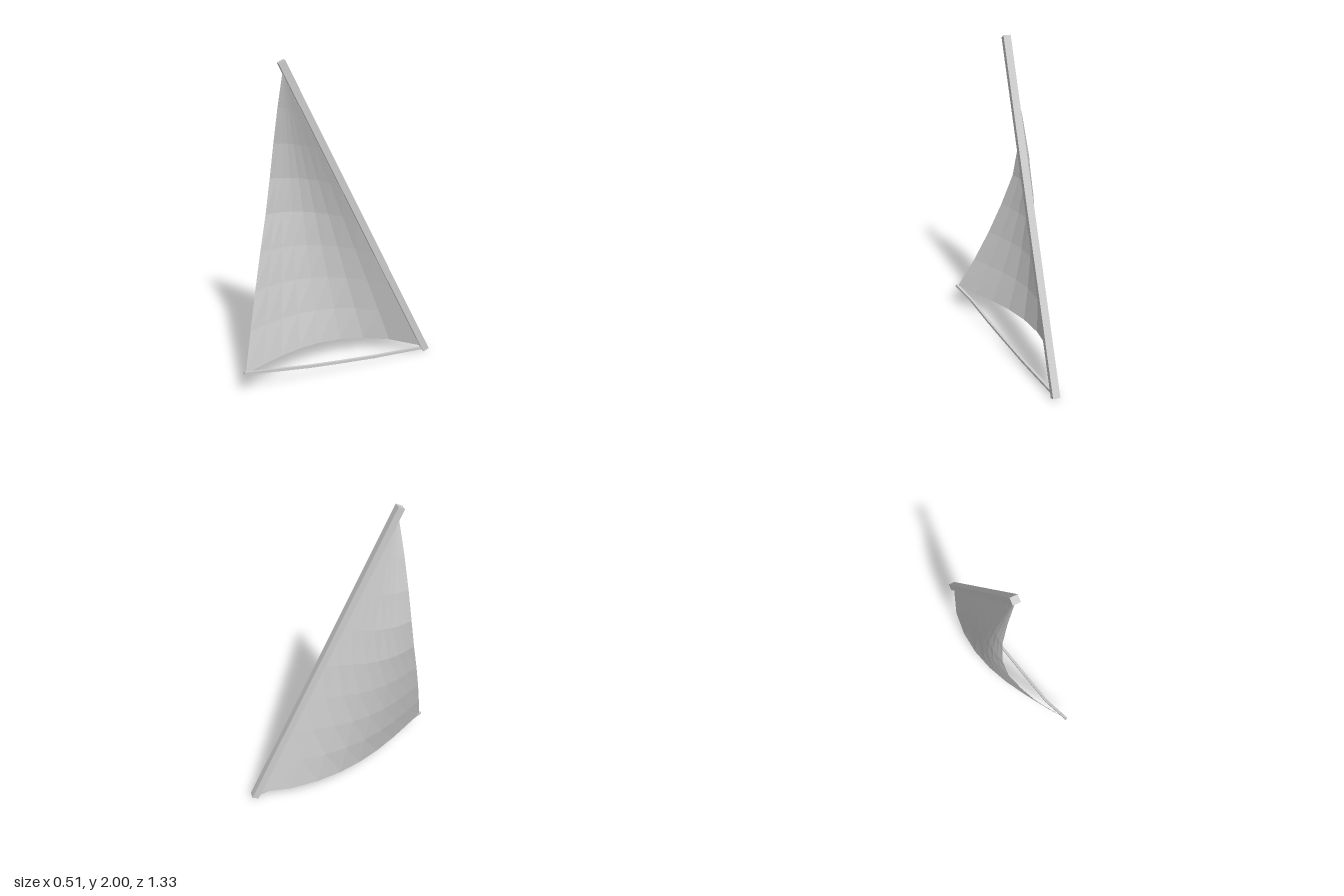
import * as THREE from 'three';

const V = (x, y, z) => new THREE.Vector3(x, y, z);
const material = new THREE.MeshStandardMaterial({ color: 0xcccccc, flatShading: true, side: THREE.DoubleSide });

// Rectangular-section beam running from a to b
function beam(a, b, width, height, name) {
  const mesh = new THREE.Mesh(new THREE.BoxGeometry(width, height, a.distanceTo(b)), material);
  mesh.position.copy(a).lerp(b, 0.5);
  mesh.lookAt(b);
  mesh.name = name;
  return mesh;
}

// Sail surface: straight luff on the yard, curved free edge, belly between them
function sailGeometry() {
  const luffLow = V(0.21, 0.035, -0.615), luffHigh = V(-0.13, 1.93, 0.24);
  const leech = new THREE.CatmullRomCurve3([
    V(-0.01, 0.15, 0.65), V(-0.113, 0.45, 0.525), V(-0.188, 0.745, 0.418), V(-0.243, 1.04, 0.318),
    V(-0.25, 1.335, 0.265), V(-0.207, 1.63, 0.252), V(-0.13, 1.94, 0.25),
  ]);
  const cols = 8, rows = 8, positions = [], index = [];
  for (let j = 0; j <= rows; j++) {
    const v = j / rows;
    const luff = luffLow.clone().lerp(luffHigh, v), edge = leech.getPoint(v);
    const depth = 0.196 * Math.pow(1 - v, 1.1);
    for (let i = 0; i <= cols; i++) {
      const u = i / cols;
      // Deepest line drifts from the yard towards the free edge with height
      const belly = depth * Math.sin(Math.PI * Math.pow(u, 0.78 + 0.4 * v));
      const p = luff.clone().lerp(edge, u);
      positions.push(p.x - belly, p.y + 0.22 * belly * (1 - v), p.z);
      if (i < cols && j < rows) {
        const a = j * (cols + 1) + i, b = a + cols + 1;
        index.push(a, a + 1, b, a + 1, b + 1, b);
      }
    }
  }
  const geometry = new THREE.BufferGeometry();
  geometry.setAttribute('position', new THREE.Float32BufferAttribute(positions, 3));
  geometry.setIndex(index);
  geometry.computeVertexNormals();
  return geometry;
}

export function createModel() {
  const model = new THREE.Group();
  model.name = 'lateenSail';

  // Long slanted spar carrying the sail
  model.add(beam(V(0.224, 0.01, -0.643), V(-0.14, 1.99, 0.255), 0.046, 0.044, 'yard'));

  const sail = new THREE.Mesh(sailGeometry(), material);
  sail.name = 'sail';
  model.add(sail);

  // Thin bowed boom from the yard foot to the sail corner
  const boom = new THREE.Group();
  boom.name = 'boom';
  const path = [
    V(0.215, 0.02, -0.62), V(0.145, 0.041, -0.25), V(0.095, 0.062, 0),
    V(0.052, 0.084, 0.22), V(0.002, 0.118, 0.47), V(-0.01, 0.156, 0.662),
  ];
  for (let i = 1; i < path.length; i++) {
    boom.add(beam(path[i - 1], path[i], 0.017, 0.017, 'boomSegment'));
  }
  model.add(boom);
  return model;
}
